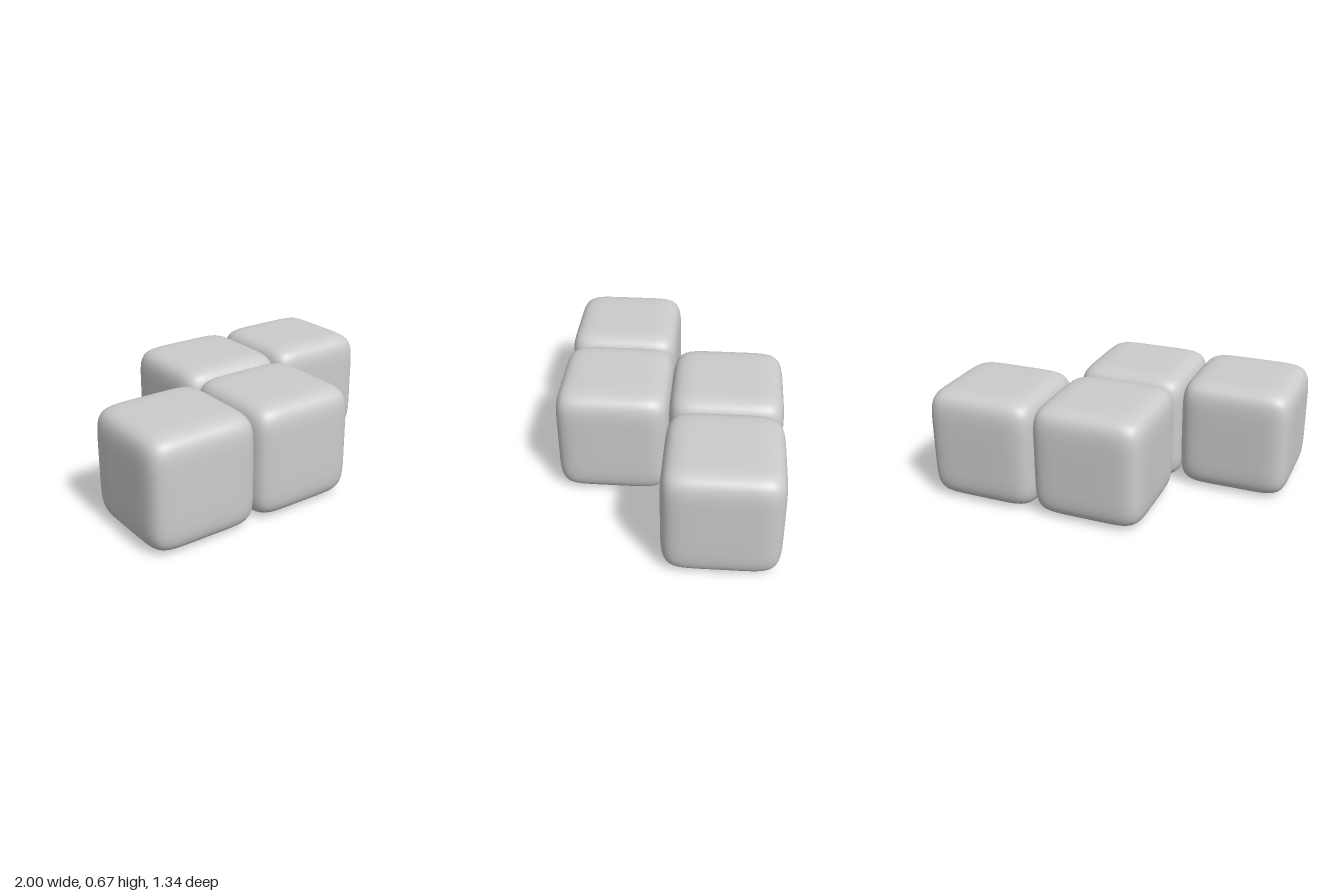
import * as THREE from 'three';

const HALF = 0.337;   // half width of one cube
const POWER = 6.5;    // roundness: higher is boxier
const STEP_X = 0.663;
const STEP_Z = 0.333;

// Cube with gently bulging faces and soft edges: box points pushed onto a superellipsoid
function softCubeGeometry() {
  const geometry = new THREE.BoxGeometry(2, 2, 2, 28, 28, 28);
  const position = geometry.attributes.position;
  const normal = geometry.attributes.normal;
  const p = new THREE.Vector3();
  const slope = (v) => Math.sign(v) * Math.abs(v) ** (POWER - 1);
  for (let i = 0; i < position.count; i++) {
    p.fromBufferAttribute(position, i);
    const sum = Math.abs(p.x) ** POWER + Math.abs(p.y) ** POWER + Math.abs(p.z) ** POWER;
    p.divideScalar(sum ** (1 / POWER));
    position.setXYZ(i, p.x * HALF, p.y * HALF, p.z * HALF);
    p.set(slope(p.x), slope(p.y), slope(p.z)).normalize();
    normal.setXYZ(i, p.x, p.y, p.z);
  }
  return geometry;
}

export function createModel() {
  const group = new THREE.Group();
  group.name = 'zigzagBlock';
  const geometry = softCubeGeometry();
  const material = new THREE.MeshStandardMaterial({ color: 0xcccccc });

  // Two offset rows of two cubes
  const cubes = [
    ['frontRightCube', -STEP_X, STEP_Z],
    ['frontMiddleCube', 0, STEP_Z],
    ['backMiddleCube', 0, -STEP_Z],
    ['backLeftCube', STEP_X, -STEP_Z],
  ];
  for (const [name, x, z] of cubes) {
    const cube = new THREE.Mesh(geometry, material);
    cube.name = name;
    cube.position.set(x, HALF, z);
    group.add(cube);
  }
  return group;
}
